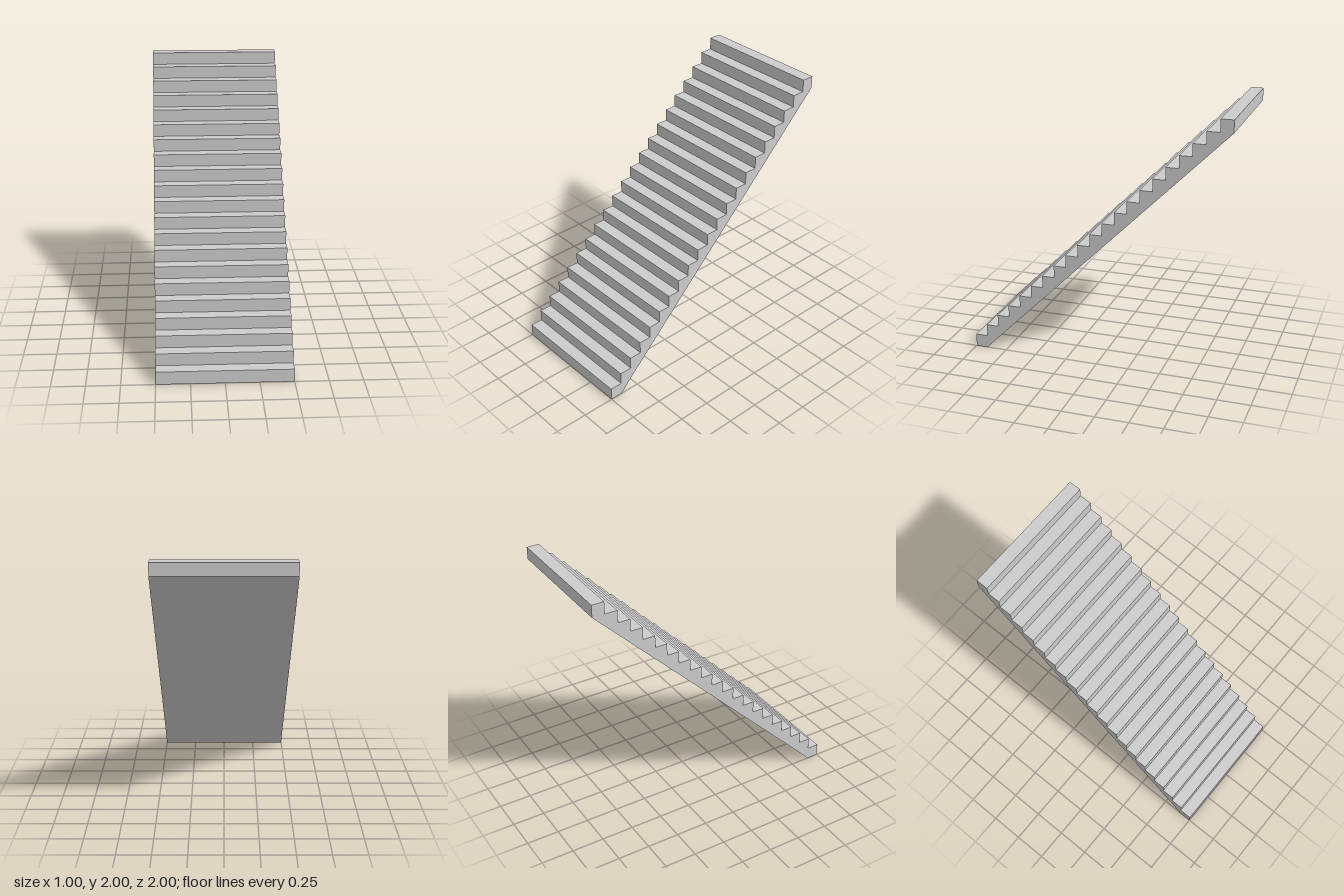
import * as THREE from 'three';

const STEPS = 21;
const WIDTH = 1;
const RUN = 2 / STEPS;      // tread depth
const FIRST_RISE = 0.1;     // the bottom step is slightly taller
const RISE = (2 - FIRST_RISE) / (STEPS - 1);

export function createModel() {
  const group = new THREE.Group();
  group.name = 'staircase';

  // Side profile: shape x runs from the front edge backwards, shape y is up
  const profile = new THREE.Shape();
  profile.moveTo(0, 0);
  for (let i = 0; i < STEPS; i++) {
    const y = FIRST_RISE + i * RISE;
    profile.lineTo(i * RUN, y);        // riser
    profile.lineTo((i + 1) * RUN, y);  // tread
  }
  // Back edge, then the sloping underside down to the foot
  profile.lineTo(2, 2 - RISE);
  profile.lineTo(2 * RUN, FIRST_RISE);
  profile.lineTo(RUN, 0);
  profile.closePath();

  // Extrude across the width and turn so the stairs climb towards -z
  const geometry = new THREE.ExtrudeGeometry(profile, { depth: WIDTH, bevelEnabled: false });
  geometry.translate(-1, 0, -WIDTH / 2);
  geometry.rotateY(Math.PI / 2);

  const material = new THREE.MeshStandardMaterial({ color: 0xcccccc, flatShading: true });
  const flight = new THREE.Mesh(geometry, material);
  flight.name = 'stairFlight';
  group.add(flight);
  return group;
}
